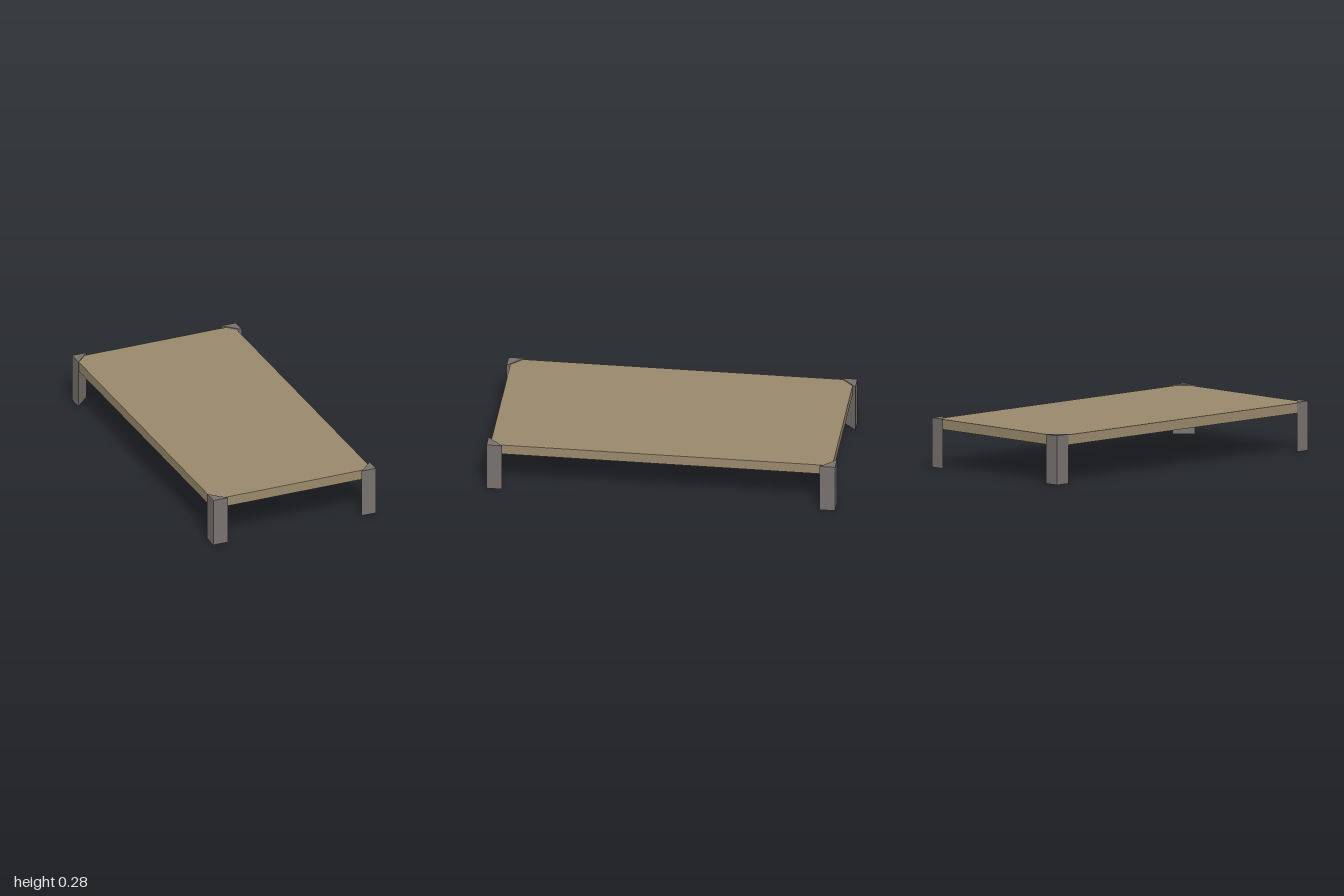
import * as THREE from 'three';

const wood = new THREE.MeshStandardMaterial({ color: 0x9a8a6d, name: 'wood', flatShading: true });
const greyMetal = new THREE.MeshStandardMaterial({ color: 0x78726f, name: 'greyMetal', flatShading: true });

// Triangular post with its right angle at the outer corner (x, z)
function makeLeg(name, x, z) {
  const size = 0.09, height = 0.284;
  const inX = x - Math.sign(x) * size, inZ = z - Math.sign(z) * size;
  const shape = new THREE.Shape([
    new THREE.Vector2(x, -z),
    new THREE.Vector2(inX, -z),
    new THREE.Vector2(x, -inZ),
  ]);
  const geometry = new THREE.ExtrudeGeometry(shape, { depth: height, bevelEnabled: false });
  geometry.rotateX(-Math.PI / 2);
  const leg = new THREE.Mesh(geometry, greyMetal);
  leg.name = name;
  return leg;
}

export function createModel() {
  const group = new THREE.Group();
  group.name = 'lowTable';

  // Flat top board
  const board = new THREE.Mesh(new THREE.BoxGeometry(0.987, 0.058, 1.962), wood);
  board.position.set(-0.011, 0.25, 0);
  board.name = 'tableTop';
  group.add(board);

  // Four corner legs
  group.add(
    makeLeg('frontLeftLeg', 0.5, 1),
    makeLeg('frontRightLeg', -0.51, 1),
    makeLeg('backLeftLeg', 0.508, -1),
    makeLeg('backRightLeg', -0.51, -1),
  );
  return group;
}
